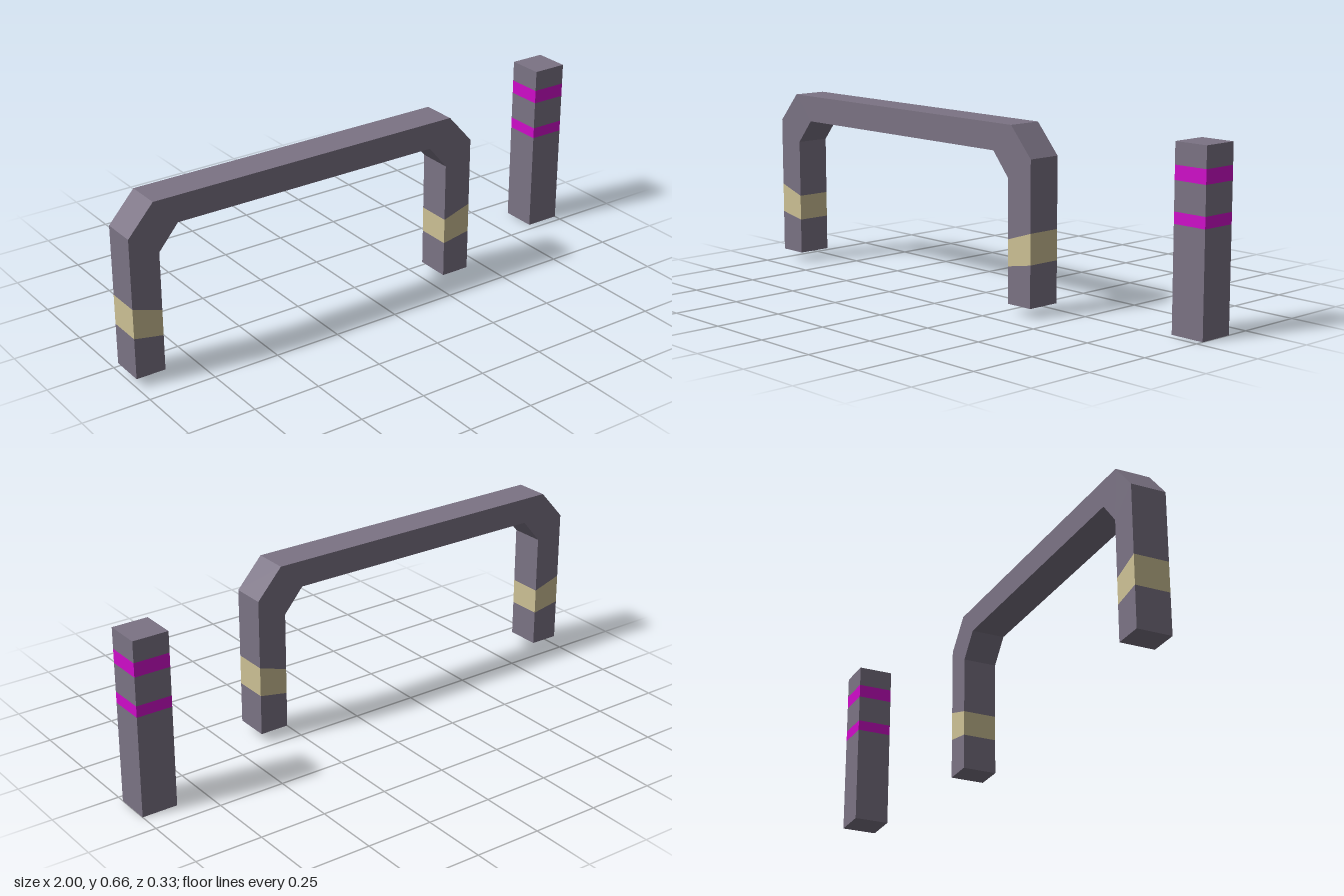
import * as THREE from 'three';

const material = (color) => new THREE.MeshStandardMaterial({ color, flatShading: true });

// Square-section strip through rings [outerX, outerY, innerX, innerY], with optional end caps
function strip(name, rings, zFront, zBack, mat, capStart = false, capEnd = false) {
  const corners = rings.map(([ox, oy, ix, iy]) => [
    [ox, oy, zFront], [ix, iy, zFront], [ix, iy, zBack], [ox, oy, zBack],
  ]);
  const pos = [];
  const quad = (a, b, c, d) => pos.push(...a, ...b, ...c, ...a, ...c, ...d);
  for (let k = 0; k + 1 < corners.length; k++) {
    const p = corners[k], q = corners[k + 1];
    for (let c = 0; c < 4; c++) {
      const n = (c + 1) % 4;
      quad(p[c], p[n], q[n], q[c]);
    }
  }
  const first = corners[0], last = corners[corners.length - 1];
  if (capStart) quad(first[0], first[3], first[2], first[1]);
  if (capEnd) quad(last[0], last[1], last[2], last[3]);
  const geo = new THREE.BufferGeometry();
  geo.setAttribute('position', new THREE.Float32BufferAttribute(pos, 3));
  geo.computeVertexNormals();
  const mesh = new THREE.Mesh(geo, mat);
  mesh.name = name;
  return mesh;
}

export function createModel() {
  const model = new THREE.Group();
  model.name = 'barrierAndBollard';
  const grey = material(0x7b7384);
  const tan = material(0xcdc195);
  const magenta = material(0xcf0cc9);

  // Barrier: half the arch as rings, then mirrored about its middle
  const barrier = new THREE.Group();
  barrier.name = 'barrier';
  const mid = -0.302;
  const half = [
    [-1, 0.035, -0.89, 0.035],
    [-1, 0.187, -0.89, 0.167],
    [-1, 0.297, -0.89, 0.262],
    [-1, 0.552, -0.89, 0.475],
    [-0.904, 0.66, -0.816, 0.563],
  ];
  const mirrored = half.map(([ox, oy, ix, iy]) => [2 * mid - ox, oy, 2 * mid - ix, iy]).reverse();
  const arch = [...half, ...mirrored];
  const addArch = (name, from, to, mat, capStart, capEnd) =>
    barrier.add(strip(name, arch.slice(from, to + 1), 0.163, 0.035, mat, capStart, capEnd));
  addArch('rightFoot', 0, 1, grey, true, false);
  addArch('rightBand', 1, 2, tan);
  addArch('archRail', 2, 7, grey);
  addArch('leftBand', 7, 8, tan);
  addArch('leftFoot', 8, 9, grey, false, true);

  // Bollard: straight post with two coloured bands
  const bollard = new THREE.Group();
  bollard.name = 'bollard';
  const levels = [0, 0.373, 0.414, 0.518, 0.569, 0.646];
  const names = ['postBase', 'lowerBand', 'postMiddle', 'upperBand', 'postTop'];
  names.forEach((name, i) => {
    const rings = [levels[i], levels[i + 1]].map((y) => [0.867, y, 1, y]);
    bollard.add(strip(name, rings, -0.03, -0.163, i % 2 ? magenta : grey, i === 0, i === 4));
  });

  model.add(barrier, bollard);
  return model;
}
